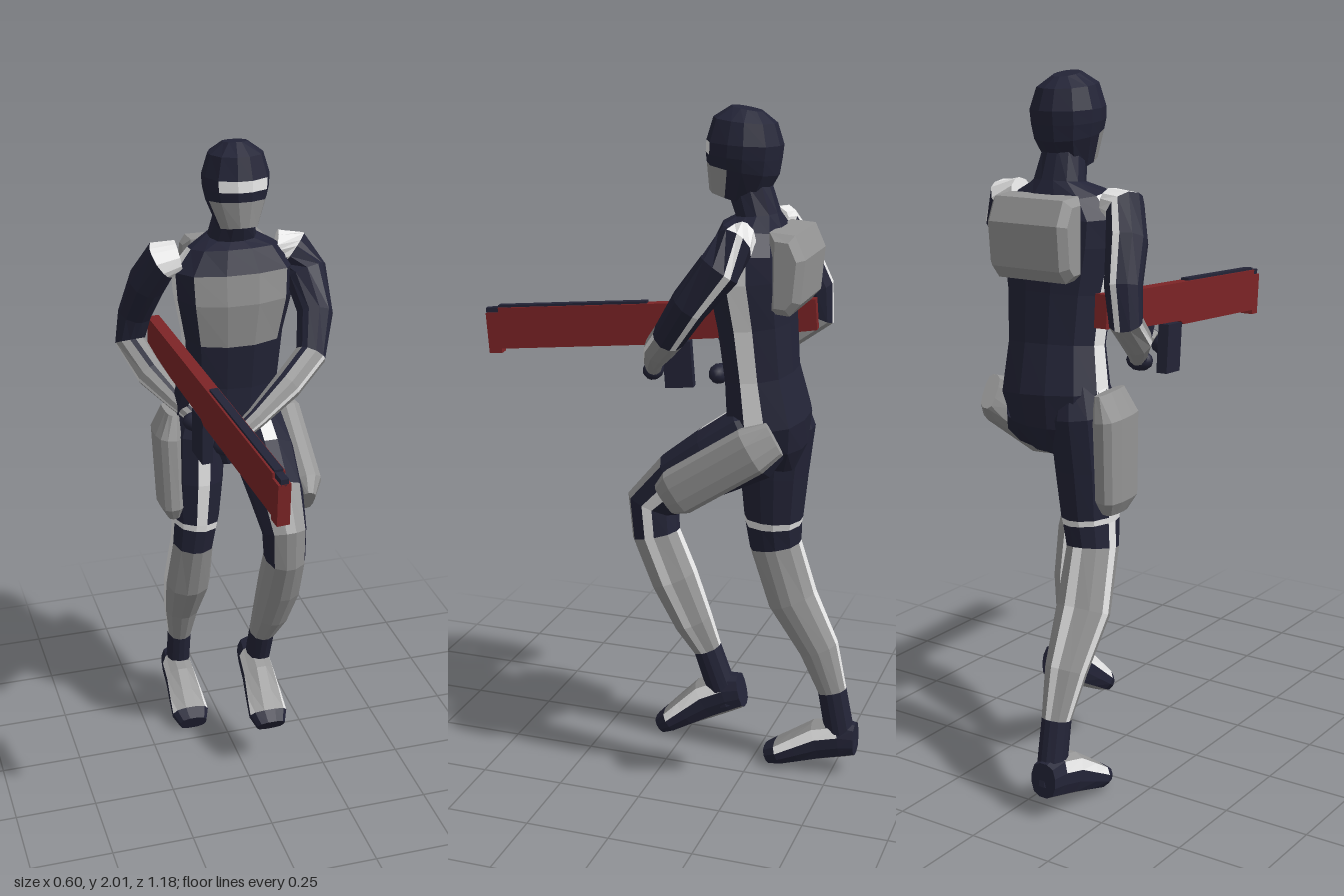
import * as THREE from 'three';

const mat = (name, color) => {
  const m = new THREE.MeshStandardMaterial({ color });
  m.name = name;
  return m;
};

// Column angles: narrow columns 0 (+side), 3 (front), 6 (-side) and 9 (back) carry stripes
const ANGLES = [-9, 9, 45, 80, 100, 135, 171, 189, 225, 260, 280, 315].map(a => a * Math.PI / 180);
const N = ANGLES.length;

export function createModel() {
  const root = new THREE.Group();
  const M = {
    suit: mat('navy suit', 0x232437),
    armour: mat('grey armour', 0x959595),
    trim: mat('white trim', 0xe8e8e8),
    gun: mat('dark red metal', 0x7c2426),
  };

  // Faceted skin through sections [x, y, z, halfWidth, halfDepth]; paint(segment, column) picks colours
  function loft(name, secs, paint, { ref = [1, 0, 0], e = 0.85, parent = root } = {}) {
    const centres = secs.map(s => new THREE.Vector3(s[0], s[1], s[2]));
    const last = secs.length - 1;
    const pow = v => Math.sign(v) * Math.abs(v) ** e;
    const rings = secs.map((s, i) => {
      const T = new THREE.Vector3();
      if (i > 0) T.add(centres[i].clone().sub(centres[i - 1]).normalize());
      if (i < last) T.add(centres[i + 1].clone().sub(centres[i]).normalize());
      T.normalize();
      const S = new THREE.Vector3(...ref);
      S.addScaledVector(T, -S.dot(T)).normalize();
      const F = S.clone().cross(T);
      return ANGLES.map(t => centres[i].clone()
        .addScaledVector(S, s[3] * pow(Math.cos(t)))
        .addScaledVector(F, s[4] * pow(Math.sin(t))));
    });
    const buckets = {};
    const tri = (key, ...p) => (buckets[key] ??= []).push(...p);
    for (let j = 0; j < N; j++) {
      const k = (j + 1) % N;
      for (let i = 0; i < last; i++) {
        const a = rings[i], b = rings[i + 1], key = paint(i, j);
        tri(key, a[j], b[j], b[k]);
        tri(key, a[j], b[k], a[k]);
      }
      tri(paint(0, 1), centres[0], rings[0][j], rings[0][k]);
      tri(paint(last - 1, 1), centres[last], rings[last][k], rings[last][j]);
    }
    const keys = Object.keys(buckets);
    const geo = new THREE.BufferGeometry().setFromPoints(keys.flatMap(k => buckets[k]));
    let start = 0;
    keys.forEach((k, n) => {
      geo.addGroup(start, buckets[k].length, n);
      start += buckets[k].length;
    });
    geo.computeVertexNormals();
    const mesh = new THREE.Mesh(geo, keys.map(k => M[k]));
    mesh.name = name;
    parent.add(mesh);
    return mesh;
  }

  function add(name, geo, material, pos = [0, 0, 0], parent = root) {
    const mesh = new THREE.Mesh(geo, material);
    mesh.name = name;
    mesh.position.set(...pos);
    parent.add(mesh);
    return mesh;
  }

  // Side profile of [z, y] points, extruded along x and centred
  function sideProfile(points, width, bevel = 0) {
    const shape = new THREE.Shape(points.map(p => new THREE.Vector2(...p)));
    const geo = new THREE.ExtrudeGeometry(shape, {
      depth: width, bevelEnabled: bevel > 0, bevelSize: bevel, bevelThickness: bevel,
      bevelOffset: -bevel, bevelSegments: 1,
    });
    return geo.translate(0, 0, -width / 2).rotateY(-Math.PI / 2);
  }

  // Torso with side stripes and chest panel
  loft('torso', [
    [.02, 1.0, -.31, .06, .08], [.015, 1.07, -.315, .13, .105], [.02, 1.15, -.315, .155, .115],
    [.03, 1.28, -.295, .14, .1], [.03, 1.42, -.28, .15, .105], [.03, 1.55, -.265, .175, .115],
    [.03, 1.63, -.265, .18, .11], [.03, 1.69, -.27, .13, .085], [.03, 1.72, -.275, .07, .06],
    [.03, 1.79, -.25, .055, .06],
  ], (i, j) => {
    if ((i === 4 || i === 5) && j >= 2 && j <= 4) return 'armour';
    return j % 6 === 0 && i >= 1 && i <= 6 ? 'trim' : 'suit';
  }, { e: .75 });

  // Head with grey jaw guard and white eye slit
  loft('head', [
    [.03, 1.76, -.21, .055, .075], [.03, 1.84, -.23, .085, .1], [.03, 1.875, -.232, .093, .104],
    [.03, 1.91, -.235, .095, .105], [.03, 1.97, -.235, .077, .087], [.03, 2.0, -.24, .035, .045],
  ], (i, j) => {
    if (i === 0 && j >= 1 && j <= 5) return 'armour';
    return i === 2 && j >= 2 && j <= 4 ? 'trim' : 'suit';
  });

  // Standing right leg, ankle to hip
  loft('rightLeg', [
    [-.1, .09, -.53, .038, .045], [-.098, .27, -.495, .038, .043], [-.1, .4, -.45, .056, .06],
    [-.1, .55, -.365, .073, .075], [-.095, .72, -.31, .066, .077], [-.087, .79, -.305, .07, .083],
    [-.085, .81, -.305, .073, .086], [-.08, .95, -.305, .082, .1], [-.075, 1.1, -.315, .085, .108],
    [-.065, 1.18, -.315, .06, .08],
  ], (i, j) => {
    if (i === 5) return 'trim';
    if (i >= 1 && i <= 3) return j === 6 || j === 9 ? 'trim' : 'armour';
    return (i === 4 && j === 6) || (i > 5 && (j === 3 || j === 6)) ? 'trim' : 'suit';
  });

  // Raised left leg, ankle to hip
  loft('leftLeg', [
    [.085, .27, -.22, .038, .045], [.09, .44, -.16, .04, .042], [.105, .53, -.12, .056, .058],
    [.115, .66, -.065, .066, .07], [.115, .79, -.01, .062, .07], [.11, .88, .0, .065, .078],
    [.11, .96, -.08, .08, .085], [.11, 1.03, -.19, .09, .1], [.105, 1.09, -.29, .09, .11],
    [.09, 1.12, -.34, .07, .08],
  ], (i, j) => {
    if (j === 0 && i >= 1) return 'trim';
    if (i >= 1 && i <= 3) return j === 9 ? 'trim' : 'armour';
    if ((i === 4 || i === 5) && j >= 2 && j <= 4) return 'armour';
    return i >= 7 && j === 3 ? 'trim' : 'suit';
  });

  // Boots, heel to toe, with grey soles and insteps
  for (const [name, pos, pitch] of [
    ['rightBoot', [-.105, .047, -.5], .25], ['leftBoot', [.078, .232, -.21], .46],
  ]) {
    const boot = loft(name, [
      [0, .05, -.085, .04, .05], [0, .06, -.04, .047, .06], [0, .06, .03, .05, .06],
      [0, .047, .1, .056, .047], [0, .036, .16, .06, .036], [0, .03, .2, .045, .028],
    ], (i, j) => {
      if (j >= 2 && j <= 4) return 'armour';
      if (i >= 1 && i <= 3 && j >= 8 && j <= 10) return 'armour';
      return i >= 1 && i <= 3 && (j === 7 || j === 11) ? 'trim' : 'suit';
    }, { e: .7 });
    boot.position.set(...pos);
    boot.rotation.x = pitch;
  }

  // Arms, wrist to shoulder
  const armPaint = outer => (i, j) => {
    if (i === 6) return 'trim';
    if (j === outer && i < 3) return 'trim';
    if (j === 9 && i >= 3) return 'trim';
    return i < 3 && j !== 3 ? 'armour' : 'suit';
  };
  loft('leftArm', [
    [-.06, 1.235, .06, .024, .024], [.01, 1.275, .035, .03, .03], [.12, 1.34, -.02, .043, .043],
    [.21, 1.4, -.08, .046, .046], [.245, 1.5, -.15, .052, .055], [.24, 1.6, -.23, .06, .065],
    [.21, 1.66, -.26, .055, .06], [.16, 1.67, -.27, .04, .05],
  ], armPaint(0), { ref: [.6, 0, .8], e: .95 });
  loft('rightArm', [
    [-.13, 1.225, -.14, .022, .022], [-.165, 1.255, -.19, .029, .029], [-.22, 1.31, -.28, .042, .042],
    [-.255, 1.38, -.385, .045, .045], [-.24, 1.47, -.375, .05, .052], [-.215, 1.58, -.32, .055, .06],
    [-.18, 1.66, -.275, .055, .06], [-.13, 1.67, -.27, .04, .05],
  ], armPaint(6), { e: .95 });

  // Gloved hands
  for (const [name, pos] of [['leftHand', [-.085, 1.22, .07]], ['rightHand', [-.125, 1.215, -.12]]]) {
    add(name, new THREE.IcosahedronGeometry(.034, 1), M.suit, pos).scale.set(1.2, .9, .9);
  }

  // Thigh guards
  const grey = () => 'armour';
  loft('leftThighGuard', [
    [.205, .93, -.07, .02, .05], [.215, .96, -.11, .04, .068],
    [.215, 1.1, -.32, .04, .068], [.2, 1.135, -.38, .02, .05],
  ], grey, { e: .6 });
  loft('rightThighGuard', [
    [-.16, .83, -.3, .02, .05], [-.165, .87, -.3, .037, .075],
    [-.17, 1.1, -.31, .04, .08], [-.155, 1.17, -.315, .02, .06],
  ], grey, { e: .6 });

  // Back pack
  add('backPack', sideProfile([
    [-.34, 1.69], [-.41, 1.685], [-.44, 1.62], [-.43, 1.5], [-.4, 1.465], [-.34, 1.47],
  ], .22, .02), M.armour, [.035, 0, 0]);

  // Rifle, muzzle towards +z
  const rifle = new THREE.Group();
  rifle.name = 'rifle';
  rifle.position.set(-.132, 1.348, .1);
  rifle.rotation.set(.08, .1, 0);
  root.add(rifle);
  add('rifleBody', sideProfile([
    [.46, .06], [-.5, .06], [-.5, -.03], [-.3, -.045], [-.05, -.05], [-.03, -.062],
    [.46, -.065], [.46, -.078], [.5, -.078], [.5, .045], [.46, .045],
  ], .036), M.gun, [0, 0, 0], rifle);
  add('rifleTopRail', new THREE.BoxGeometry(.024, .008, .46), M.suit, [0, .063, .23], rifle);
  add('rifleMuzzle', new THREE.BoxGeometry(.022, .02, .04), M.suit, [0, .05, .48], rifle);
  add('rifleMagazine', new THREE.BoxGeometry(.032, .14, .085), M.suit, [0, -.125, -.08], rifle);
  add('rifleGrip', new THREE.BoxGeometry(.028, .11, .05), M.suit, [0, -.085, -.25], rifle).rotation.x = .4;

  return root;
}
